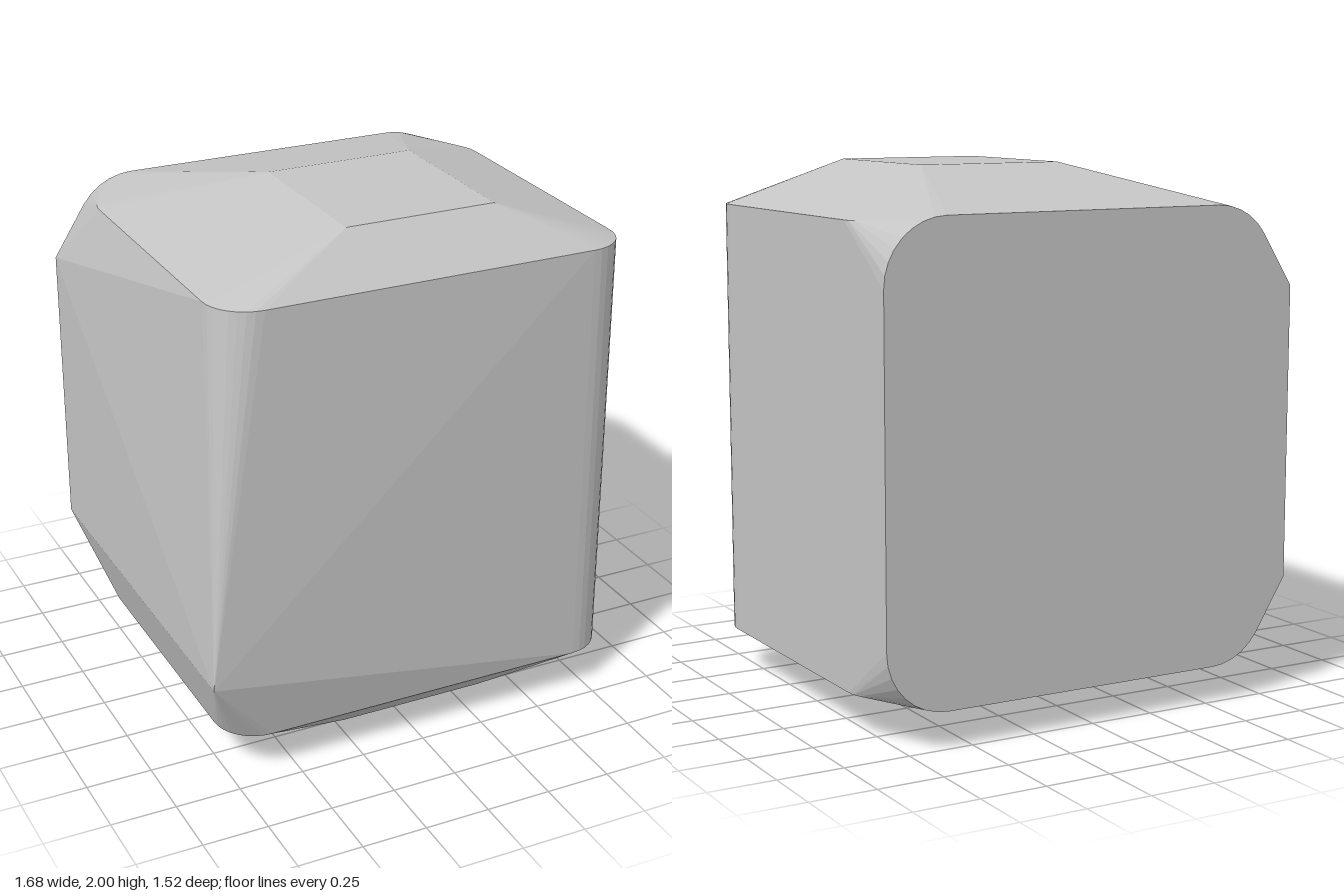
import * as THREE from 'three';
import { ConvexGeometry } from 'three/addons/geometries/ConvexGeometry.js';

// Points around a rounded rectangle: centre, half sizes, corner radius
function roundedRect(cx, cy, hw, hh, r, steps) {
  const points = [];
  for (let corner = 0; corner < 4; corner++) {
    const sx = corner === 0 || corner === 3 ? 1 : -1;
    const sy = corner < 2 ? 1 : -1;
    for (let i = 0; i <= steps; i++) {
      const a = (corner + i / steps) * Math.PI / 2;
      points.push([
        cx + sx * (hw - r) + r * Math.cos(a),
        cy + sy * (hh - r) + r * Math.sin(a),
      ]);
    }
  }
  return points;
}

export function createModel() {
  const group = new THREE.Group();
  group.name = 'facetedBlock';
  const grey = new THREE.MeshStandardMaterial({ color: 0xc4c4c4 });
  grey.name = 'grey';

  const points = [];
  const add = (x, y, z) => points.push(new THREE.Vector3(x, y, z));

  // Flat top and bottom caps
  for (const y of [0, 2])
    for (const x of [-0.21, 0.37])
      for (const z of [-0.14, 0.51]) add(x, y, z);

  // Rounded upper and lower rims of the body
  for (const y of [0.165, 1.835])
    for (const [x, z] of roundedRect(0.04, 0.04, 0.8, 0.66, 0.16, 8)) add(x, y, z);

  // Rounded flat back
  for (const [x, y] of roundedRect(0.04, 1, 0.8, 0.86, 0.24, 8)) add(x, y, -0.76);

  // Corners that pull the right side outward
  add(-0.845, 1.555, -0.76);
  add(-0.845, 0.45, -0.76);
  add(-0.845, 0.45, 0.76);

  const body = new THREE.Mesh(new ConvexGeometry(points), grey);
  body.name = 'body';
  group.add(body);
  return group;
}
